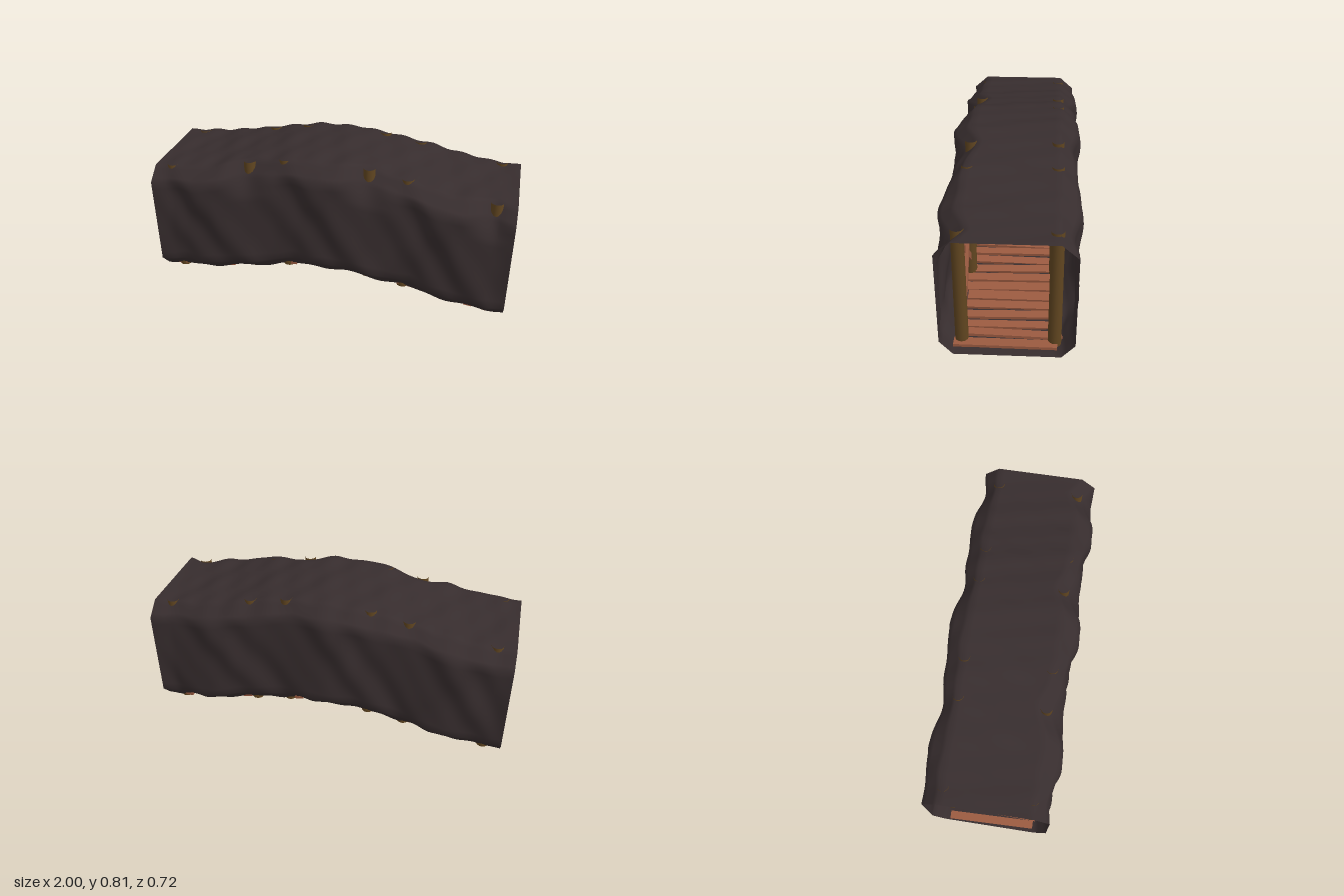
import * as THREE from 'three';

const PERIOD = 2 / 3; // the tunnel repeats in three bays
const rockMat = new THREE.MeshStandardMaterial({ color: 0x372d2e, side: THREE.DoubleSide });
rockMat.name = 'darkRock';
const postMat = new THREE.MeshStandardMaterial({ color: 0x604520 });
postMat.name = 'brownLog';
const plankMat = new THREE.MeshStandardMaterial({ color: 0x9a5a40 });
plankMat.name = 'redPlank';

// height of the arched path at x
const rise = (x) => 0.132 * Math.cos((Math.PI * x) / 2) ** 2;
const slope = (x) => Math.atan(-0.066 * Math.PI * Math.sin(Math.PI * x));

function seeded(seed) {
  let s = seed;
  return () => (s = (s * 16807) % 2147483647) / 2147483647;
}

// rock tube: a chamfered section swept along the arch and pushed in and out
function rockShell() {
  const corners = [
    [-0.265, 0.012], [0.265, 0.012], [0.332, 0.088], [0.332, 0.6],
    [0.25, 0.673], [-0.25, 0.673], [-0.332, 0.6], [-0.332, 0.088],
  ];
  const steps = [14, 3, 12, 4, 14, 4, 12, 3];
  const ring = [];
  corners.forEach(([z, y], k) => {
    const [z2, y2] = corners[(k + 1) % 8];
    for (let i = 0; i < steps[k]; i++) {
      const t = i / steps[k];
      ring.push([z + (z2 - z) * t, y + (y2 - y) * t]);
    }
  });
  const NX = 100, n = ring.length, pos = [], idx = [];
  const w = (2 * Math.PI) / PERIOD;
  const { sin, cos } = Math;
  const { smoothstep, clamp } = THREE.MathUtils;
  for (let i = 0; i <= NX; i++) {
    const x = -1 + (2 * i) / NX;
    const fade = Math.min(1, (1 - Math.abs(x)) / 0.1);
    // upper front edge dips in beside one post of each bay
    const dip = 0.05 * Math.max(0, cos(w * (x - 0.225))) ** 2;
    for (const [z, y] of ring) {
      const side = clamp((Math.abs(z) - 0.2) / 0.13, 0, 1) * Math.sign(z);
      const shift = z > 0 ? 0.09 : -0.04;
      const bulge = cos(w * (x - shift) + 2 * (y - 0.3));
      const fine = sin(2 * w * x + 2 + z) * sin(13 * y + 1) + 0.6 * sin(3 * w * x + z) * cos(19 * y);
      const dent = z > 0 ? dip * smoothstep(y, 0.5, 0.6) * smoothstep(z, 0.1, 0.25) : 0;
      const dz = (side * (0.015 * bulge + 0.012 * fine) - dent) * fade;
      const dy = (0.005 * sin(2 * w * x + 1 + 4 * z) * cos(10 * z + 1) + 0.005 * sin(4 * w * x + 6 * z) * sin(15 * z + 2)) * fade;
      pos.push(x, y + rise(x) + dy, z + dz);
    }
  }
  for (let i = 0; i < NX; i++) {
    for (let j = 0; j < n; j++) {
      const a = i * n + j, c = i * n + ((j + 1) % n);
      idx.push(a, a + n, c, a + n, c + n, c);
    }
  }
  const g = new THREE.BufferGeometry();
  g.setAttribute('position', new THREE.Float32BufferAttribute(pos, 3));
  g.setIndex(idx);
  g.computeVertexNormals();
  const m = new THREE.Mesh(g, rockMat);
  m.name = 'rockShell';
  return m;
}

export function createModel() {
  const model = new THREE.Group();
  model.name = 'mineTunnel';
  model.add(rockShell());

  // support posts in pairs, open at both ends, poking through roof and floor
  const bays = [[-0.9, -0.44], [-0.235, 0.225], [0.43, 0.895]];
  const posts = new THREE.Group();
  posts.name = 'supportPosts';
  const braces = new THREE.Group();
  braces.name = 'crossBraces';
  for (const bay of bays) {
    for (const side of [1, -1]) {
      for (const x of bay) {
        const bottom = rise(x) + (side > 0 ? 0.006 : 0);
        const top = rise(x) + 0.68;
        const geo = new THREE.CylinderGeometry(0.032, 0.034, top - bottom, 16, 1, true);
        const post = new THREE.Mesh(geo, postMat);
        post.position.set(x, (top + bottom) / 2, 0.232 * side);
        post.name = 'post';
        posts.add(post);
      }
      // X brace between the two posts of a bay
      const [x0, x1] = bay;
      for (const up of [1, -1]) {
        const yA = rise(x0) + (up > 0 ? 0.1 : 0.61);
        const yB = rise(x1) + (up > 0 ? 0.61 : 0.1);
        const len = Math.hypot(x1 - x0, yB - yA);
        const brace = new THREE.Mesh(new THREE.BoxGeometry(len, 0.034, 0.03), plankMat);
        brace.position.set((x0 + x1) / 2, (yA + yB) / 2, side * (0.231 + 0.007 * up));
        brace.rotation.z = Math.atan2(yB - yA, x1 - x0);
        brace.name = 'brace';
        braces.add(brace);
      }
    }
  }
  model.add(posts, braces);

  // uneven floor planks, each slightly tilted and partly sunk in the rock
  const floor = new THREE.Group();
  floor.name = 'floorPlanks';
  const rand = seeded(41);
  for (let x = -0.965; x < 0.98; x += 0.063) {
    const width = 0.045 + rand() * 0.013;
    const length = 0.46 + rand() * 0.06;
    const plank = new THREE.Mesh(new THREE.BoxGeometry(width, 0.016, length), plankMat);
    plank.position.set(x, rise(x) + 0.019 + rand() * 0.005, (rand() - 0.5) * 0.03);
    plank.rotation.set((rand() - 0.5) * 0.03, (rand() - 0.5) * 0.06, slope(x) + (rand() - 0.5) * 0.14);
    plank.name = 'plank';
    floor.add(plank);
  }
  model.add(floor);
  return model;
}
